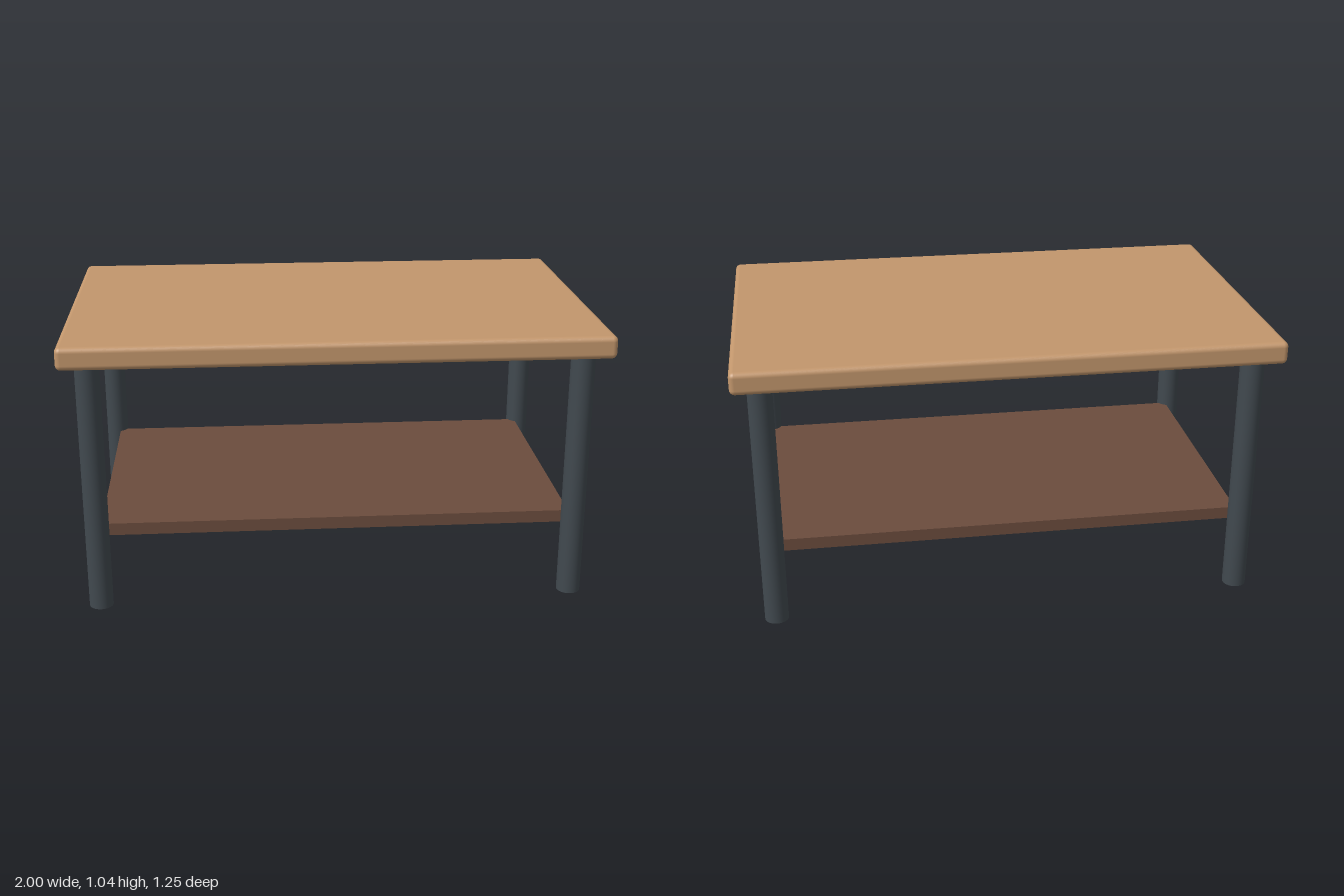
import * as THREE from 'three';
import { RoundedBoxGeometry } from 'three/addons/geometries/RoundedBoxGeometry.js';

const material = (name, color) => {
  const m = new THREE.MeshStandardMaterial({ color });
  m.name = name;
  return m;
};

export function createModel() {
  const lightWood = material('lightWood', 0xc2966c);
  const darkWood = material('darkWood', 0x6b4c3d);
  const darkMetal = material('darkMetal', 0x41494f);

  const table = new THREE.Group();
  table.name = 'coffeeTable';

  const add = (name, geometry, mat, x, y, z) => {
    const mesh = new THREE.Mesh(geometry, mat);
    mesh.name = name;
    mesh.position.set(x, y, z);
    table.add(mesh);
  };

  // Top with softly rounded edges
  add('tableTop', new RoundedBoxGeometry(2, 0.085, 1.245, 4, 0.02), lightWood, 0, 1.0025, 0);

  // Lower shelf, its corners set into the legs
  add('shelf', new THREE.BoxGeometry(1.77, 0.047, 1.02), darkWood, 0, 0.302, 0);

  // Four round legs
  const legGeometry = new THREE.CylinderGeometry(0.045, 0.045, 0.96, 32);
  for (const [endName, z] of [['front', 0.525], ['back', -0.525]]) {
    for (const [sideName, x] of [['Left', 0.9], ['Right', -0.9]]) {
      add(`${endName}${sideName}Leg`, legGeometry, darkMetal, x, 0.48, z);
    }
  }

  return table;
}
